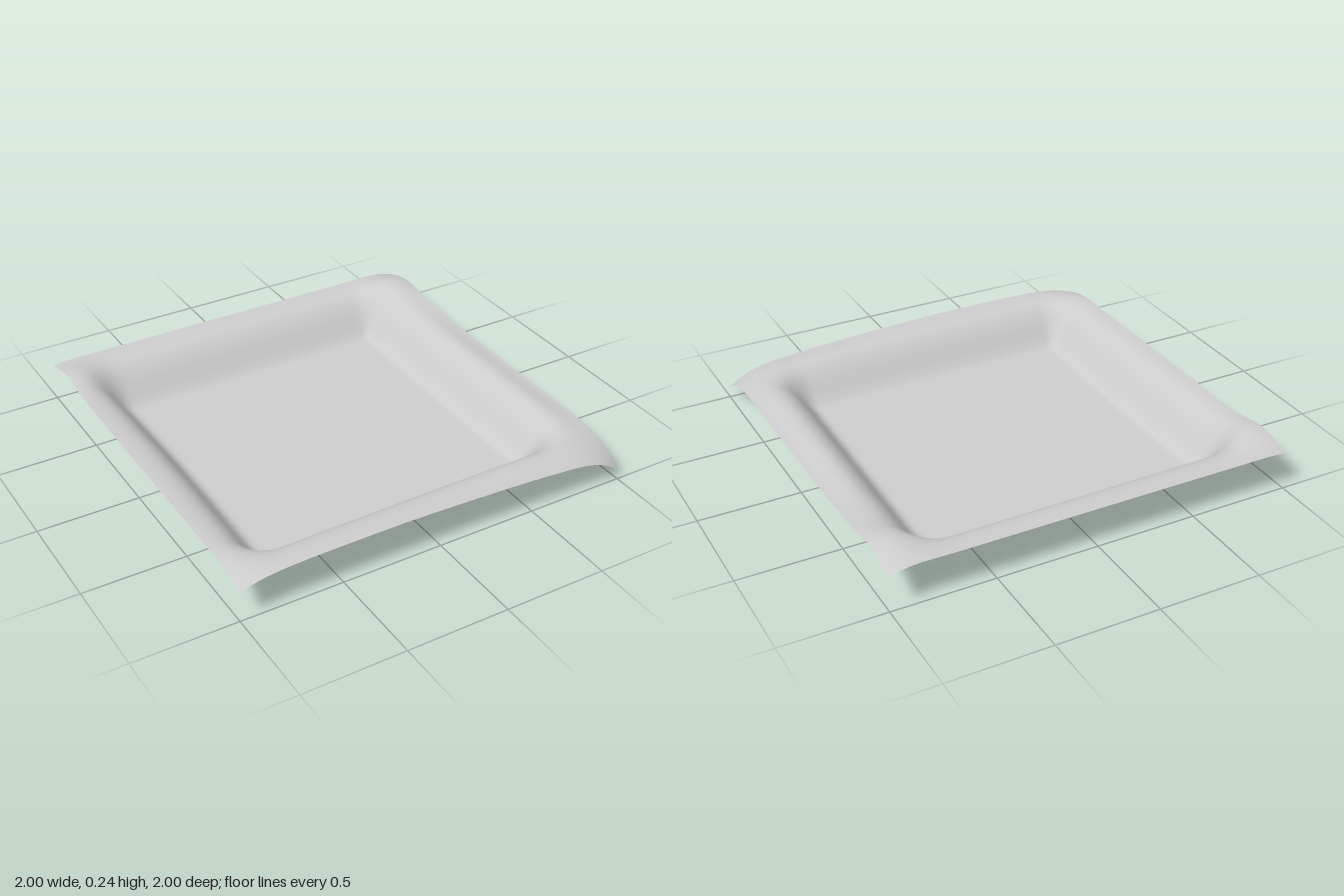
import * as THREE from 'three';

const smooth = THREE.MathUtils.smoothstep;
const bump = (x, z, cx, cz, r) => Math.exp(-((x - cx) ** 2 + (z - cz) ** 2) / (r * r));
// fall-off measured along the diagonal from the corner at (sx, sz)
const corner = (x, z, sx, sz, r) => Math.exp(-(2 - sx * x - sz * z) / r);

// Height of the draped sheet: flat floor, curved walls, level rim, drooping corners
function height(x, z) {
  const footX = x < 0 ? 0.7 + 0.025 * z * z : 0.65 - 0.01 * z;
  const footZ = z < 0 ? 0.675 + 0.01 * x : 0.665 - 0.015 * x;
  const d = Math.hypot(Math.max(0, Math.abs(x) - footX), Math.max(0, Math.abs(z) - footZ));
  const wall = 1 - Math.exp(-((d / 0.122) ** 2));

  let rim = 0.2;
  // swells beside the corners
  rim += 0.036 * bump(x, z, -0.95, -0.8, 0.14);
  rim += 0.039 * bump(x, z, 0.9, -0.82, 0.15);
  rim += 0.012 * bump(x, z, -0.93, 0.83, 0.12);
  // sagging right and front edges
  rim -= 0.028 * smooth(x, 0.85, 1) * smooth(z, -0.8, -0.1) * (1 - smooth(z, 0.4, 0.9));
  rim -= 0.02 * smooth(z, 0.85, 1) * smooth(x, -0.3, 0.6) * (1 - smooth(x, 0.6, 0.95));
  // drooping corner tips
  rim -= 0.15 * corner(x, z, 1, 1, 0.18);
  rim -= 0.055 * corner(x, z, -1, 1, 0.12);
  rim -= 0.03 * corner(x, z, 1, -1, 0.1);
  rim -= 0.012 * corner(x, z, -1, -1, 0.1);
  return rim * wall;
}

export function createModel() {
  const group = new THREE.Group();
  group.name = 'clothTray';
  const cloth = new THREE.MeshStandardMaterial({ color: 0xcccccc, side: THREE.DoubleSide });
  cloth.name = 'light grey cloth';

  // One square sheet pressed into a shallow tray
  const geometry = new THREE.PlaneGeometry(2, 2, 100, 100).rotateX(-Math.PI / 2);
  const p = geometry.attributes.position;
  for (let i = 0; i < p.count; i++) p.setY(i, height(p.getX(i), p.getZ(i)));
  geometry.computeVertexNormals();

  const sheet = new THREE.Mesh(geometry, cloth);
  sheet.name = 'drapedSheet';
  group.add(sheet);
  return group;
}
